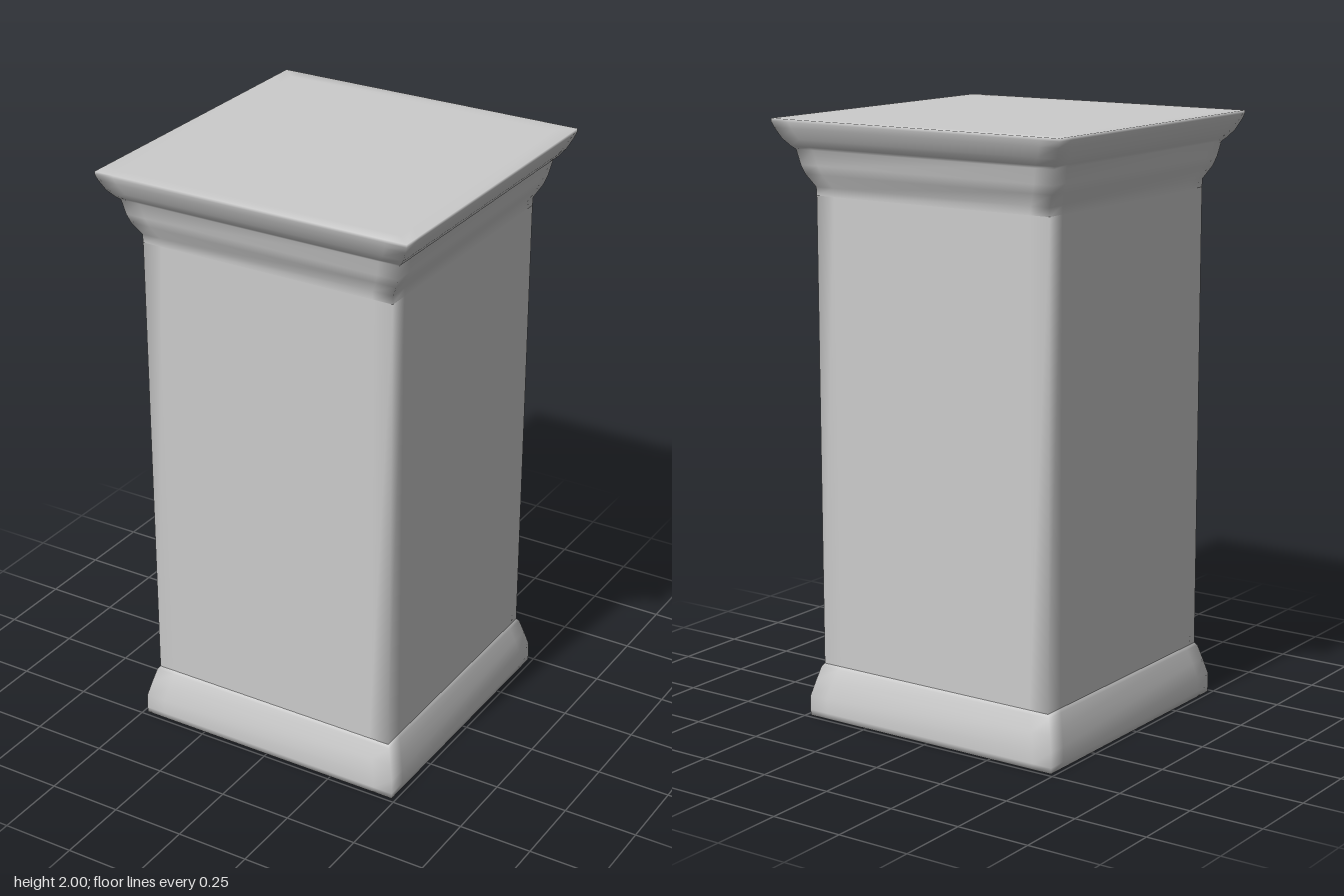
import * as THREE from 'three';

const INSET = 0.07; // width of the softly shaded strip beside each corner

// Square loop of the given half width, with support points beside each corner
function squareRing(half, y) {
  const pts = [];
  for (let side = 0; side < 4; side++) {
    const c = Math.cos(side * Math.PI / 2), s = Math.sin(side * Math.PI / 2);
    for (const t of [-half, -half + INSET, half - INSET]) {
      pts.push(t * c + half * s, y, half * c - t * s);
    }
  }
  return pts;
}

// Skin a [half width, height] profile around the square; optionally close the top
function squareLoft(name, profile, material, closeTop = false) {
  const n = 12, positions = [], index = [];
  profile.forEach(([half, y]) => positions.push(...squareRing(half, y)));
  for (let i = 0; i < profile.length - 1; i++) {
    for (let j = 0; j < n; j++) {
      const k = (j + 1) % n;
      const a = i * n + j, b = i * n + k, c = (i + 1) * n + k, d = (i + 1) * n + j;
      index.push(a, b, c, a, c, d);
    }
  }
  if (closeTop) {
    const last = profile.length - 1, centre = profile.length * n;
    positions.push(0, profile[last][1], 0);
    for (let j = 0; j < n; j++) index.push(last * n + j, last * n + (j + 1) % n, centre);
  }
  const geometry = new THREE.BufferGeometry();
  geometry.setAttribute('position', new THREE.Float32BufferAttribute(positions, 3));
  geometry.setIndex(index);
  geometry.computeVertexNormals();
  const mesh = new THREE.Mesh(geometry, material);
  mesh.name = name;
  return mesh;
}

export function createModel() {
  const group = new THREE.Group();
  group.name = 'pedestal';
  const material = new THREE.MeshStandardMaterial({ color: 0xcccccc, side: THREE.DoubleSide });

  // Base moulding with a narrow rim around the open underside
  const base = [
    [0.46, 0], [0.485, 0], [0.486, 0.02], [0.485, 0.07],
    [0.472, 0.12], [0.458, 0.17], [0.45, 0.18],
  ];
  // Plain hollow shaft
  const shaft = [[0.45, 0.175], [0.45, 0.21], [0.45, 1.75]];
  // Stepped cornice, finished by the flat top slab
  const cornice = [
    [0.45, 1.75], [0.451, 1.778], [0.475, 1.82], [0.485, 1.85], [0.495, 1.9],
    [0.506, 1.91], [0.526, 1.935], [0.543, 1.97], [0.55, 1.99], [0.55, 2], [0.5, 2],
  ];

  group.add(
    squareLoft('base', base, material),
    squareLoft('shaft', shaft, material),
    squareLoft('cornice', cornice, material, true),
  );
  return group;
}
